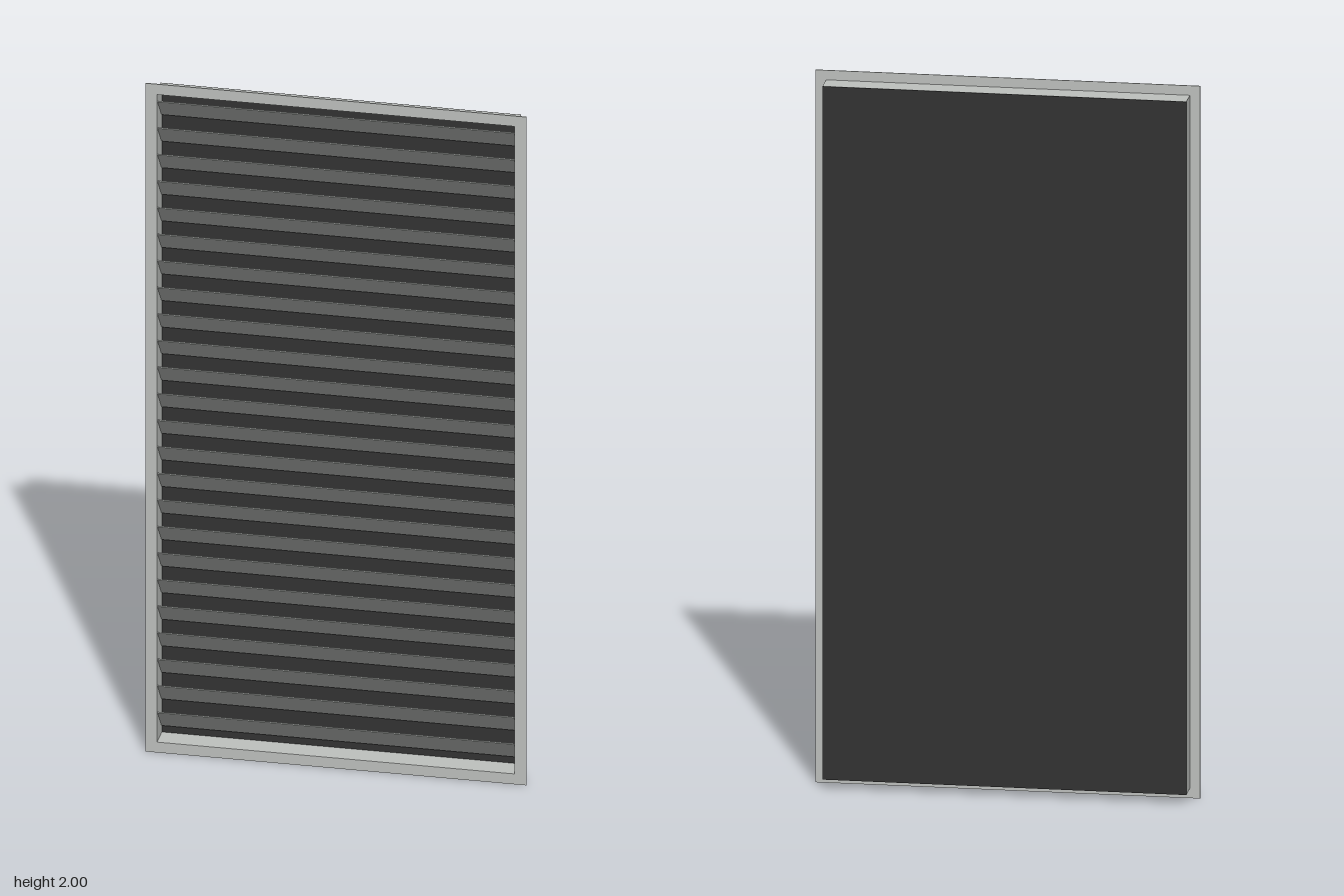
import * as THREE from 'three';

const WIDTH = 1.046, HEIGHT = 2, FRONT = 0.033, BACK = -0.033;
const BODY_W = 0.99, BODY_H = 1.946, WALL = 0.004;

// Rectangular ring centred on (0, 1), extruded along z
function ring(w, h, innerW, innerH, depth) {
  const rect = (target, a, b) => target
    .moveTo(-a / 2, -b / 2).lineTo(a / 2, -b / 2)
    .lineTo(a / 2, b / 2).lineTo(-a / 2, b / 2).closePath();
  const shape = rect(new THREE.Shape(), w, h);
  shape.holes.push(rect(new THREE.Path(), innerW, innerH));
  return new THREE.ExtrudeGeometry(shape, { depth, bevelEnabled: false }).translate(0, 1, 0);
}

export function createModel() {
  const model = new THREE.Group();
  model.name = 'louvreGrille';
  const metal = new THREE.MeshStandardMaterial({ color: 0xbfc2bf });
  metal.name = 'light grey metal';
  const dark = new THREE.MeshStandardMaterial({ color: 0x333333 });
  dark.name = 'dark backing';

  const add = (name, geometry, material, parent = model) => {
    const mesh = new THREE.Mesh(geometry, material);
    mesh.name = name;
    parent.add(mesh);
    return mesh;
  };

  // Thin flange around the opening
  const innerW = BODY_W - 2 * WALL, innerH = BODY_H - 2 * WALL;
  const flangeT = 0.003;
  add('flange', ring(WIDTH, HEIGHT, innerW, innerH, flangeT), metal)
    .position.z = FRONT - flangeT;

  // Box walls behind the flange
  const panelT = 0.002;
  add('bodyWalls', ring(BODY_W, BODY_H, innerW, innerH, FRONT - flangeT - BACK - panelT), metal)
    .position.z = BACK + panelT;

  // Dark panel closing the back
  add('backPanel', new THREE.BoxGeometry(BODY_W, BODY_H, panelT), dark)
    .position.set(0, 1, BACK + panelT / 2);

  // Sloping slats, front edge high and back edge low
  const slats = new THREE.Group();
  slats.name = 'slats';
  model.add(slats);
  const COUNT = 24, PITCH = 0.0795, rise = 0.064, run = 0.054;
  const slatGeometry = new THREE.BoxGeometry(innerW, 0.003, Math.hypot(rise, run));
  for (let i = 0; i < COUNT; i++) {
    const slat = add('slat', slatGeometry, metal, slats);
    slat.position.set(0, 1 + (i - (COUNT - 1) / 2) * PITCH, 0);
    slat.rotation.x = -Math.atan2(rise, run);
  }
  return model;
}
